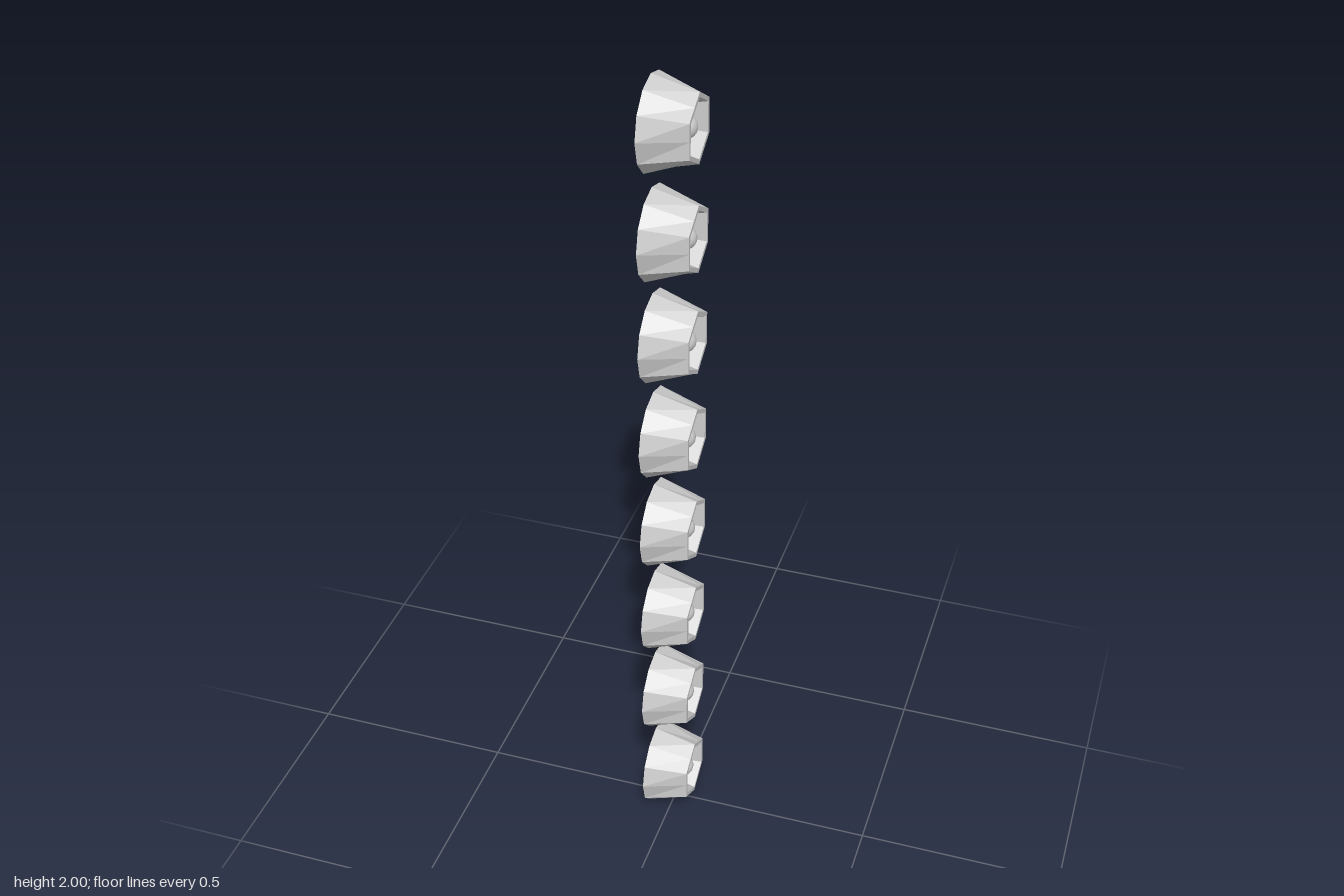
import * as THREE from 'three';

const COUNT = 8, RADIUS = 0.107, SPACING = (2 - 2 * RADIUS) / (COUNT - 1);

// Twelve-sided base that blends into a hexagonal rim with a recessed socket
function housingGeometry() {
  const profile = [
    [0, -0.053], [RADIUS, -0.053], [0.08, 0.051],
    [0.069, 0.051], [0.06, 0.018], [0, 0.018],
  ].map(([r, h]) => new THREE.Vector2(r, h));
  const geometry = new THREE.LatheGeometry(profile, 12);
  const pos = geometry.attributes.position;
  for (let i = 0; i < pos.count; i++) {
    const segment = Math.floor(i / profile.length);
    // Pull every second column in to the middle of a hexagon side
    if (pos.getY(i) > -0.05 && segment % 2 === 0) {
      const k = Math.cos(Math.PI / 6);
      pos.setX(i, pos.getX(i) * k);
      pos.setZ(i, pos.getZ(i) * k);
    }
  }
  geometry.rotateZ(-Math.PI / 2);
  return geometry;
}

export function createModel() {
  const model = new THREE.Group();
  model.name = 'studColumn';
  const faceted = new THREE.MeshStandardMaterial({ color: 0xcccccc, flatShading: true });
  const smooth = new THREE.MeshStandardMaterial({ color: 0xcccccc });
  const housing = housingGeometry();
  const bulb = new THREE.SphereGeometry(0.027, 12, 8).rotateZ(-Math.PI / 2);

  // Vertical row of identical studs facing +x
  for (let i = 0; i < COUNT; i++) {
    const stud = new THREE.Group();
    stud.name = `stud${i + 1}`;
    const shell = new THREE.Mesh(housing, faceted);
    shell.name = 'housing';
    const ball = new THREE.Mesh(bulb, smooth);
    ball.name = 'bulb';
    ball.position.x = 0.02;
    stud.add(shell, ball);
    stud.position.y = RADIUS + i * SPACING;
    model.add(stud);
  }
  return model;
}
